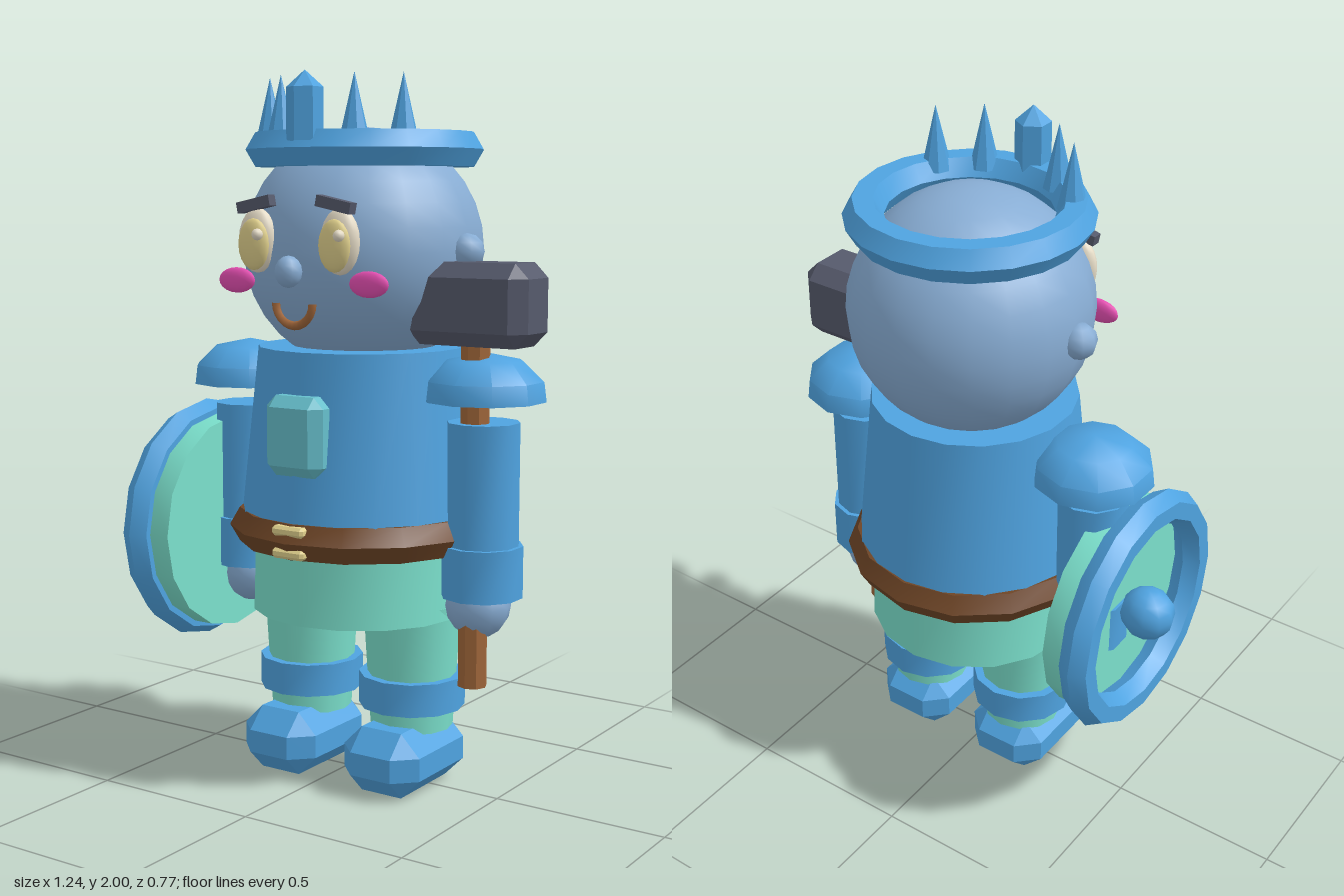
import * as THREE from 'three';
import { toCreasedNormals } from 'three/addons/utils/BufferGeometryUtils.js';
import { ConvexGeometry } from 'three/addons/geometries/ConvexGeometry.js';

const mat = (name, color) => Object.assign(new THREE.MeshStandardMaterial({ color }), { name });

export function createModel() {
  const blue = mat('blue armour', 0x4fa3e0);
  const skin = mat('blue grey skin', 0x88add4);
  const mint = mat('mint cloth', 0x7be0cc);
  const leather = mat('dark leather', 0x6e4526);
  const wood = mat('wood', 0xa0663a);
  const iron = mat('dark iron', 0x565a6c);
  const pink = mat('pink', 0xe850b4);
  const cream = mat('cream', 0xf0e6d0);
  const gold = mat('pale gold', 0xe0d08c);
  const teal = mat('teal gem', 0x66bfcc);

  const model = new THREE.Group();
  model.name = 'figure';
  const CX = 0.037, CZ = -0.01; // body axis

  const add = (name, geometry, material, x, y, z, parent = model) => {
    const mesh = new THREE.Mesh(geometry, material);
    mesh.name = name;
    mesh.position.set(x, y, z);
    parent.add(mesh);
    return mesh;
  };
  const creased = (g, angle = 0.65) => toCreasedNormals(g, angle);
  const drum = (rTop, rBottom, h, n) => creased(new THREE.CylinderGeometry(rTop, rBottom, h, n));
  const ball = (rx, ry, rz, w = 14, h = 10) => new THREE.SphereGeometry(1, w, h).scale(rx, ry, rz);
  const ring = (R, r, n, sides = 6) => creased(new THREE.TorusGeometry(R, r, sides, n));

  // Box with every edge cut at 45 degrees
  const chamferBox = (hx, hy, hz, c) => {
    const pts = [];
    for (const sx of [-1, 1]) for (const sy of [-1, 1]) for (const sz of [-1, 1]) {
      pts.push(
        new THREE.Vector3(sx * hx, sy * (hy - c), sz * (hz - c)),
        new THREE.Vector3(sx * (hx - c), sy * hy, sz * (hz - c)),
        new THREE.Vector3(sx * (hx - c), sy * (hy - c), sz * hz));
    }
    return new ConvexGeometry(pts);
  };

  // Head and crown
  add('head', ball(0.34, 0.34, 0.34, 20, 16), skin, CX, 1.52, -0.025);
  add('crownBand', ring(0.28, 0.055, 20).rotateX(Math.PI / 2), blue, CX, 1.797, -0.028);
  for (const s of [-1, 1]) {
    add('crownSpike', drum(0, 0.042, 0.18, 8), blue, CX + s * 0.12, 1.905, 0.205);
    add('crownSpike', drum(0, 0.042, 0.18, 8), blue, CX + s * 0.22, 1.905, 0.12);
  }
  const crystal = [[0, 0], [0.05, 0], [0.05, 0.14], [0, 0.185]].map(p => new THREE.Vector2(...p));
  add('crownCrystal', creased(new THREE.LatheGeometry(crystal, 6), 0.3), blue, CX, 1.815, 0.262);

  // Face
  for (const s of [-1, 1]) {
    add('ear', ball(0.05, 0.05, 0.05, 8, 6), skin, CX + s * 0.34, 1.52, -0.015);
    add('eyeWhite', ball(0.06, 0.088, 0.032), cream, CX + s * 0.135, 1.55, 0.295);
    add('iris', ball(0.05, 0.07, 0.022), gold, CX + s * 0.132, 1.54, 0.317);
    add('eyeGlint', ball(0.016, 0.016, 0.016, 8, 6), cream, CX + s * 0.132 + 0.028, 1.567, 0.338);
    add('brow', new THREE.BoxGeometry(0.11, 0.03, 0.03), iron, CX + s * 0.13, 1.647, 0.308)
      .rotation.z = -s * 0.2;
    add('cheek', ball(0.062, 0.035, 0.018), pink, CX + s * 0.217, 1.44, 0.282);
  }
  add('nose', ball(0.037, 0.043, 0.037, 10, 8), skin, CX, 1.47, 0.34);
  add('mouth', new THREE.TorusGeometry(0.06, 0.012, 6, 12, Math.PI).rotateZ(Math.PI), wood, CX, 1.385, 0.315);

  // Torso, belt and skirt
  add('torso', drum(0.293, 0.342, 0.47, 18), blue, CX, 1.015, CZ);
  add('chestGem', chamferBox(0.093, 0.11, 0.045, 0.03), teal, CX, 1.025, 0.3);
  add('belt', ring(0.32, 0.057, 14).rotateX(Math.PI / 2).rotateY(Math.PI / 2), leather, CX, 0.738, CZ);
  for (const s of [-1, 1]) {
    add('buckleBar', chamferBox(0.052, 0.014, 0.025, 0.008), gold, CX, 0.738 + s * 0.031, 0.333);
  }
  add('skirt', drum(0.305, 0.312, 0.24, 16), mint, CX, 0.615, CZ);

  // Limbs, mirrored about the body axis
  for (const s of [-1, 1]) {
    const legX = CX + s * 0.175, armX = CX + s * 0.4;
    add('leg', drum(0.14, 0.118, 0.36, 12), mint, legX, 0.35, CZ);
    add('bootCuff', drum(0.152, 0.152, 0.093, 12), blue, legX, 0.277, CZ);
    add('boot', chamferBox(0.125, 0.093, 0.18, 0.06), blue, legX, 0.097, 0.03);
    add('sleeve', drum(0.102, 0.102, 0.37, 10), blue, armX, 0.875, CZ);
    add('armCuff', drum(0.115, 0.115, 0.145, 10), blue, armX, 0.647, CZ);
    add('hand', ball(0.092, 0.092, 0.092, 10, 8), skin, CX + s * 0.39, 0.547, CZ);
    const dome = [[0, 0], [0.17, 0], [0.163, 0.055], [0.105, 0.11], [0, 0.132]].map(p => new THREE.Vector2(...p));
    add('shoulderPad', creased(new THREE.LatheGeometry(dome, 10), 0.75), blue, armX, 1.118, -0.015);
  }

  // Hammer in the left hand
  add('hammerHandle', drum(0.041, 0.041, 0.97, 8), wood, 0.43, 0.81, 0.025);
  add('hammerHead', chamferBox(0.185, 0.112, 0.095, 0.04), iron, 0.43, 1.383, 0.022);

  // Shield on the right arm
  const shield = new THREE.Group();
  shield.name = 'shield';
  shield.position.set(0, 0.7, 0.02);
  model.add(shield);
  add('shieldRim', ring(0.312, 0.05, 16).rotateY(Math.PI / 2), blue, -0.504, 0, 0, shield);
  add('shieldDisc', drum(0.32, 0.32, 0.068, 16).rotateZ(Math.PI / 2), mint, -0.43, 0, 0, shield);
  add('shieldBoss', ball(0.08, 0.078, 0.075, 10, 8), blue, -0.54, 0, 0, shield);

  return model;
}
